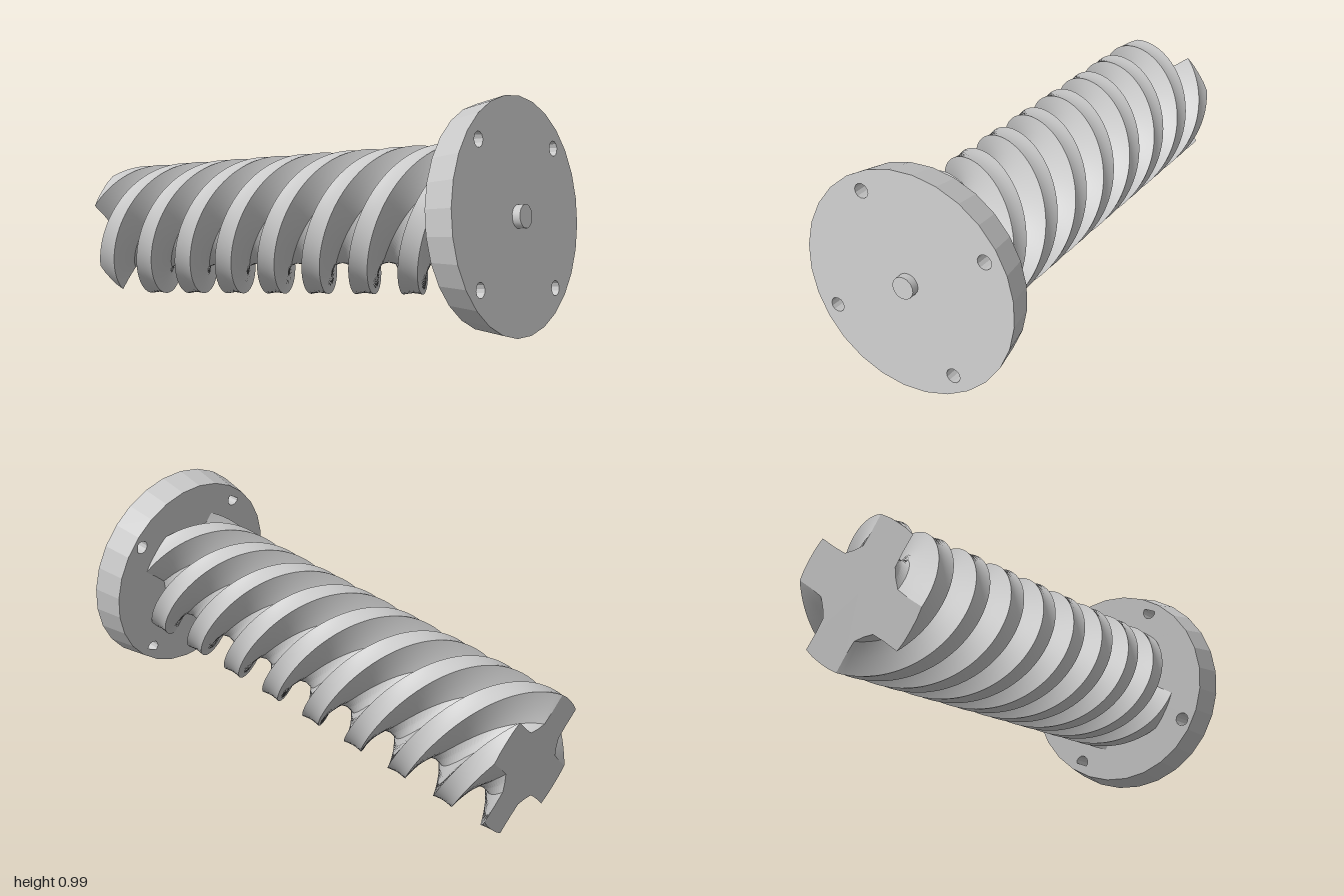
import * as THREE from 'three';
import { toCreasedNormals } from 'three/addons/utils/BufferGeometryUtils.js';

const rad = THREE.MathUtils.degToRad;
const SHAFT = 1.80, PLATE = 0.12, TILT = rad(9);
const PITCH = 0.89; // length of one full turn of the four threads

// Four-armed cross-section, counter-clockwise
function crossSection() {
  const arm = [ // angle from arm centre (degrees), radius
    [-31, 0.165], [-22.5, 0.215], [-17.5, 0.277], [-9, 0.274], [0, 0.272],
    [9, 0.274], [17.5, 0.277], [22.5, 0.215], [31, 0.165], [45, 0.157],
  ];
  const points = [];
  for (let k = 0; k < 4; k++) {
    for (const [a, r] of arm) points.push([rad(a + 41.5 + 90 * k), r]);
  }
  return points;
}

// Sweep the cross-section along z while turning it
function threadGeometry() {
  const section = crossSection(), n = section.length, steps = 180;
  const pos = [], idx = [];
  for (let j = 0; j <= steps; j++) {
    const s = (SHAFT * j) / steps, turn = -(s / PITCH) * Math.PI * 2;
    for (const [a, r] of section) pos.push(r * Math.cos(a + turn), r * Math.sin(a + turn), s);
  }
  for (let j = 0; j < steps; j++) {
    for (let i = 0; i < n; i++) {
      const a = j * n + i, b = j * n + (i + 1) % n;
      idx.push(a, b, b + n, a, b + n, a + n);
    }
  }
  // Flat end caps
  const back = pos.length / 3;
  pos.push(0, 0, 0, 0, 0, SHAFT);
  for (let i = 0; i < n; i++) {
    const k = (i + 1) % n, top = steps * n;
    idx.push(back, k, i, back + 1, top + i, top + k);
  }
  const g = new THREE.BufferGeometry();
  g.setAttribute('position', new THREE.Float32BufferAttribute(pos, 3));
  g.setIndex(idx);
  return toCreasedNormals(g, rad(25));
}

// Tapered round plate with four through holes
function plateGeometry() {
  const circle = (cx, cy, r, sides) => Array.from({ length: sides }, (_, i) => {
    const a = Math.PI / 2 + (i / sides) * Math.PI * 2;
    return new THREE.Vector2(cx + r * Math.cos(a), cy + r * Math.sin(a));
  });
  const shape = new THREE.Shape(circle(0, 0, 0.43, 28));
  for (let k = 0; k < 4; k++) {
    const a = rad(34.5 + 90 * k);
    shape.holes.push(new THREE.Path(circle(0.362 * Math.cos(a), 0.362 * Math.sin(a), 0.028, 12)));
  }
  const g = new THREE.ExtrudeGeometry(shape, { depth: PLATE, bevelEnabled: false });
  // Narrow the rim towards the shaft
  const p = g.attributes.position;
  for (let i = 0; i < p.count; i++) {
    const x = p.getX(i), y = p.getY(i);
    if (p.getZ(i) < 0.01 && Math.hypot(x, y) > 0.41) p.setXY(i, x * 0.95, y * 0.95);
  }
  g.computeVertexNormals();
  return g;
}

export function createModel() {
  const metal = new THREE.MeshStandardMaterial({ color: 0xc8c8c8 });
  metal.name = 'light grey';

  const screw = new THREE.Group();
  screw.name = 'tiltedScrew';
  const add = (name, geometry, z) => {
    const mesh = new THREE.Mesh(geometry, metal);
    mesh.name = name;
    mesh.position.z = z;
    screw.add(mesh);
  };

  add('threadedShaft', threadGeometry(), 0);
  add('mountingPlate', plateGeometry(), SHAFT - 0.003);
  const pin = toCreasedNormals(new THREE.CylinderGeometry(0.043, 0.043, 0.06, 16).rotateX(Math.PI / 2), rad(40));
  add('centrePin', pin, SHAFT + PLATE - 0.002);

  // The axis rises towards the front
  screw.rotation.x = -TILT;
  screw.position.set(0, 0.27, -0.957);

  const model = new THREE.Group();
  model.name = 'threadedScrewWithPlate';
  model.add(screw);
  return model;
}
